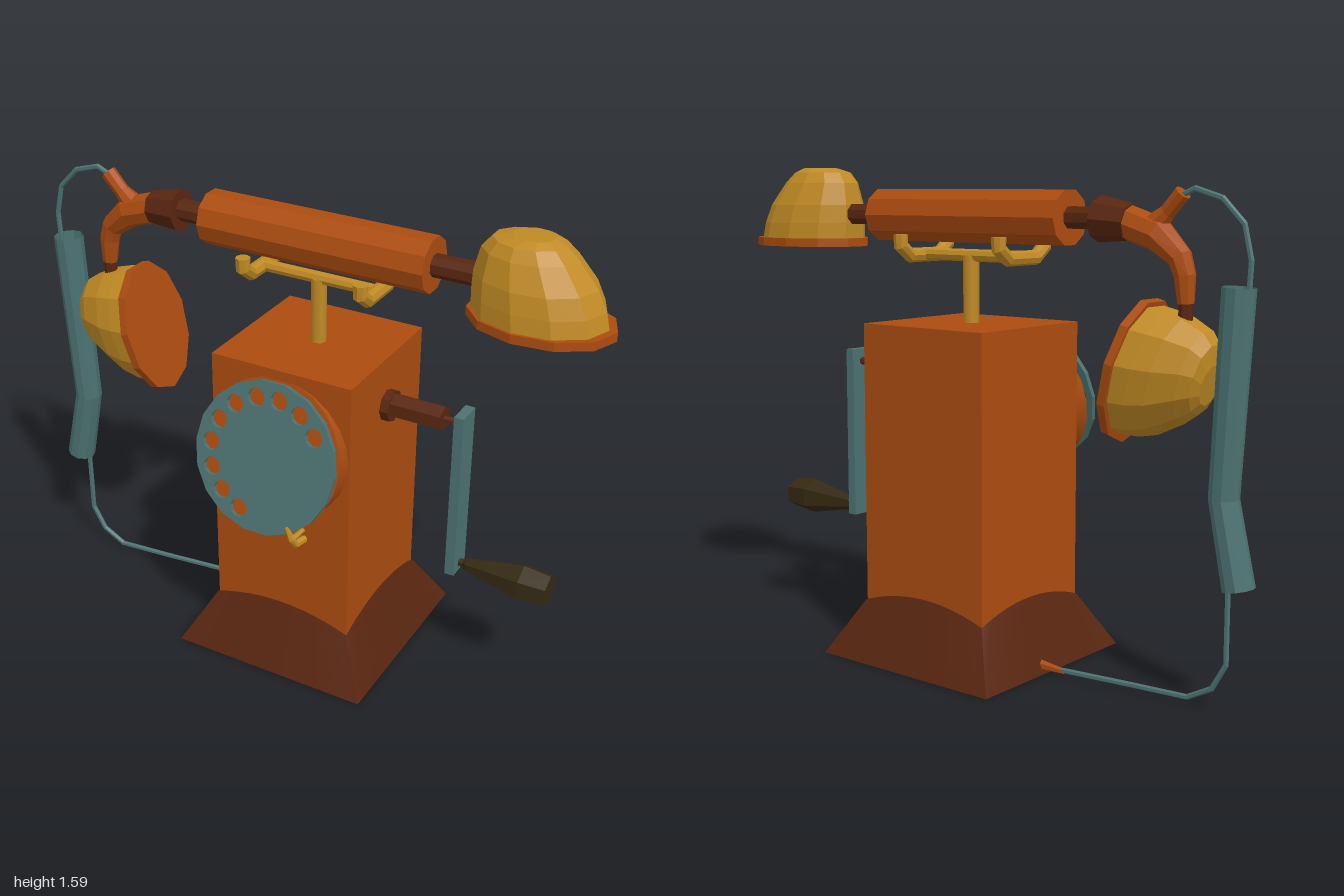
import * as THREE from 'three';
import { toCreasedNormals } from 'three/addons/utils/BufferGeometryUtils.js';

const CX = 0.045, CZ = -0.037; // axis of the body

export function createModel() {
  const model = new THREE.Group();
  model.name = 'crankTelephone';
  const colour = (name, hex) => {
    const m = new THREE.MeshStandardMaterial({ color: hex });
    m.name = name;
    return m;
  };
  const wood = colour('orange wood', 0xac4c10);
  const dark = colour('dark brown', 0x582610);
  const brass = colour('brass', 0xc08a24);
  const teal = colour('teal', 0x4c7272);
  const grip = colour('dark olive', 0x352912);
  teal.side = THREE.DoubleSide;

  const add = (name, geometry, material, parent = model) => {
    const mesh = new THREE.Mesh(geometry, material);
    mesh.name = name;
    parent.add(mesh);
    return mesh;
  };

  // Flat-shaded skin through equal-sized rings, counter-clockwise about their axis
  function loft(rings, capped = true) {
    const n = rings[0].length, pts = rings.flat(), idx = [];
    for (let i = 0; i < rings.length - 1; i++) {
      for (let j = 0; j < n; j++) {
        const a = i * n + j, b = i * n + (j + 1) % n;
        idx.push(a, b, a + n, b, b + n, a + n);
      }
    }
    const last = (rings.length - 1) * n;
    for (let j = 1; capped && j < n - 1; j++) {
      idx.push(0, j + 1, j, last, last + j, last + j + 1);
    }
    const indexed = new THREE.BufferGeometry().setFromPoints(pts);
    indexed.setIndex(idx);
    const g = indexed.toNonIndexed();
    g.computeVertexNormals();
    return g;
  }

  // Round section swept along [x, y, z, radius] points
  function sweep(path, sides, { ref = new THREE.Vector3(0, 0, 1), phase = 0, capped = true } = {}) {
    const p = path.map(([x, y, z]) => new THREE.Vector3(x, y, z));
    return loft(p.map((c, i) => {
      const t = p[Math.min(i + 1, p.length - 1)].clone().sub(p[Math.max(i - 1, 0)]).normalize();
      const n = ref.clone().cross(t).normalize(), b = t.clone().cross(n);
      return Array.from({ length: sides }, (_, j) => {
        const a = phase + j / sides * Math.PI * 2, r = path[i][3];
        return c.clone().addScaledVector(n, r * Math.cos(a)).addScaledVector(b, r * Math.sin(a));
      });
    }), capped);
  }
  // Straight bar along x from [x, radius] pairs
  const rod = (y, steps, sides, phase = 0) =>
    sweep(steps.map(([x, r]) => [x, y, CZ, r]), sides, { phase });

  // Body
  add('body', new THREE.BoxGeometry(0.49, 0.97, 0.486), wood).position.set(CX, 0.605, CZ);

  // Flared base: four sloping sides with arched upper edges
  const base = new THREE.Group();
  base.name = 'base';
  base.position.set(CX, 0, CZ);
  model.add(base);
  const side = new THREE.PlaneGeometry(2, 1, 12, 1);
  const sp = side.attributes.position;
  for (let i = 0; i < sp.count; i++) {
    const u = sp.getX(i);
    if (sp.getY(i) > 0) sp.setXYZ(i, u * 0.247, 0.178 + 0.045 * (1 - u * u), 0.247);
    else sp.setXYZ(i, u * 0.345, 0, 0.345);
  }
  side.computeVertexNormals();
  for (let k = 0; k < 4; k++) add('baseSide', side, dark, base).rotation.y = k * Math.PI / 2;
  add('baseBottom', new THREE.PlaneGeometry(0.69, 0.69), dark, base).rotation.x = Math.PI / 2;

  // Dial housing: a drum with its front cut at a slant
  const drum = new THREE.CylinderGeometry(0.24, 0.24, 1, 24).rotateX(Math.PI / 2);
  const dp = drum.attributes.position;
  for (let i = 0; i < dp.count; i++) {
    dp.setZ(i, dp.getZ(i) > 0 ? 0.268 - dp.getY(i) * 0.268 : 0.19);
  }
  add('dialHousing', toCreasedNormals(drum, 0.6), wood).position.set(CX, 0.825, 0);

  // Dial plate with ten finger holes
  const plate = new THREE.Shape(Array.from({ length: 18 }, (_, i) => {
    const a = i / 18 * Math.PI * 2;
    return new THREE.Vector2(0.246 * Math.cos(a), 0.246 * Math.sin(a));
  }));
  for (let i = 0; i < 10; i++) {
    const a = THREE.MathUtils.degToRad(34 + 24 * i);
    plate.holes.push(new THREE.Path().absarc(0.192 * Math.cos(a), 0.192 * Math.sin(a), 0.03, 0, Math.PI * 2, true));
  }
  const dial = add('dial', new THREE.ExtrudeGeometry(plate, { depth: 0.016, bevelEnabled: false, curveSegments: 5 }), teal);
  dial.position.set(CX, 0.83, 0.293);
  dial.rotation.x = -0.264;

  // Finger stop
  add('fingerStop', sweep([[0.2, 0.6, 0.325, 0.012], [0.19, 0.6, 0.365, 0.013], [0.185, 0.625, 0.38, 0.012],
    [0.17, 0.665, 0.385, 0.006]], 6, { ref: new THREE.Vector3(1, 0, 0) }), brass);
  add('fingerStopTip', sweep([[0.18, 0.615, 0.372, 0.012], [0.208, 0.65, 0.345, 0.007]], 6), brass);

  // Cradle: post, crossbar and two upturned hooks
  add('cradlePost', new THREE.CylinderGeometry(0.026, 0.026, 0.22, 8), brass).position.set(CX, 1.195, CZ);
  add('cradleBar', rod(1.305, [[-0.16, 0.02], [0.25, 0.02]], 8), brass);
  for (const x of [-0.16, 0.246]) {
    const hook = [[-0.113, 1.37], [-0.113, 1.335], [-0.07, 1.302], [0.07, 1.302], [0.113, 1.335], [0.113, 1.37]];
    add('cradleHook', sweep(hook.map(([z, y]) => [x, y, CZ + z, 0.024]), 8, { ref: new THREE.Vector3(1, 0, 0) }), brass);
  }

  // Handset bar
  add('handsetTube', rod(1.43, [[-0.345, 0.088], [0.43, 0.088]], 10, Math.PI / 10), wood);
  add('handsetNeck', rod(1.43, [[-0.47, 0.036], [0.6, 0.036]], 8, Math.PI / 8), dark);
  add('elbowCollar', sweep([[-0.455, 1.428, CZ, 0.07], [-0.565, 1.42, CZ, 0.055]], 8), dark);
  add('elbow', sweep([[-0.55, 1.42, CZ, 0.052], [-0.66, 1.385, CZ, 0.052], [-0.735, 1.32, CZ, 0.038],
    [-0.752, 1.27, CZ, 0.033], [-0.757, 1.19, CZ, 0.025]], 8), wood);
  add('cordBranch', sweep([[-0.64, 1.405, CZ, 0.04], [-0.69, 1.45, CZ, 0.025], [-0.74, 1.505, CZ, 0.026]], 8), wood);
  add('elbowTip', sweep([[-0.757, 1.205, CZ, 0.022], [-0.757, 1.13, CZ, 0.022]], 8), dark);

  // Lopsided cups, rows of [y, xMin, xMax, zRadius]
  const oval = ([y, x0, x1, rz]) => Array.from({ length: 11 }, (_, j) => {
    const a = j / 11 * Math.PI * 2, c = Math.cos(a);
    return new THREE.Vector3((x0 + x1) / 2 + c * (x1 - x0) / 2, y, -rz * Math.sin(a));
  });
  const rim = loft([[0, -0.23, 0.22, 0.162], [0.028, -0.23, 0.22, 0.162]].map(oval));
  const dome = loft([[0.02, -0.215, 0.197, 0.153], [0.08, -0.218, 0.182, 0.148], [0.14, -0.216, 0.153, 0.137],
    [0.215, -0.198, 0.09, 0.107], [0.25, -0.168, 0.05, 0.085], [0.265, -0.11, 0.015, 0.055]].map(oval));
  const cup = (name, x, y) => {
    const g = new THREE.Group();
    g.name = name;
    g.position.set(x, y, CZ);
    add('cupRim', rim, wood, g);
    add('cupDome', dome, brass, g);
    model.add(g);
    return g;
  };
  cup('earpiece', 0.775, 1.32);
  cup('mouthpiece', -0.575, 0.985).rotation.set(0, Math.PI, THREE.MathUtils.degToRad(105), 'ZYX');

  // Crank
  add('crankFlange', rod(0.925, [[0.28, 0.052], [0.318, 0.052]], 8), dark);
  add('crankSleeve', rod(0.93, [[0.31, 0.042], [0.49, 0.042]], 6), dark);
  add('crankAxle', rod(0.928, [[0.48, 0.013], [0.55, 0.013]], 6), dark);
  add('crankArm', new THREE.BoxGeometry(0.032, 0.58, 0.088), teal).position.set(0.555, 0.68, CZ);
  add('crankHandle', rod(0.418, [[0.565, 0.014], [0.585, 0.014], [0.6, 0.024], [0.79, 0.062], [0.88, 0.052]], 6), grip);

  // Cord with its sleeve and base plug
  add('cordSleeve', sweep([[-0.928, 1.245, CZ, 0.05], [-0.897, 0.64, CZ, 0.046], [-0.953, 0.382, CZ, 0.049]], 10, { capped: false }), teal);
  const cord = (name, pts) => add(name, sweep(pts.map(([x, y, z = CZ]) => [x, y, z, 0.009]), 6), teal);
  cord('upperCord', [[-0.73, 1.495], [-0.78, 1.517], [-0.87, 1.49], [-0.94, 1.42], [-0.964, 1.32], [-0.958, 1.2], [-0.93, 1.1]]);
  cord('lowerCord', [[-0.92, 0.55], [-0.918, 0.38], [-0.918, 0.15], [-0.872, 0.068], [-0.79, 0.024], [-0.6, 0.024, -0.055], [-0.36, 0.024, -0.083]]);
  add('cordPlug', sweep([[-0.37, 0.022, -0.083, 0.009], [-0.27, 0.026, -0.083, 0.017]], 6), wood);

  return model;
}
